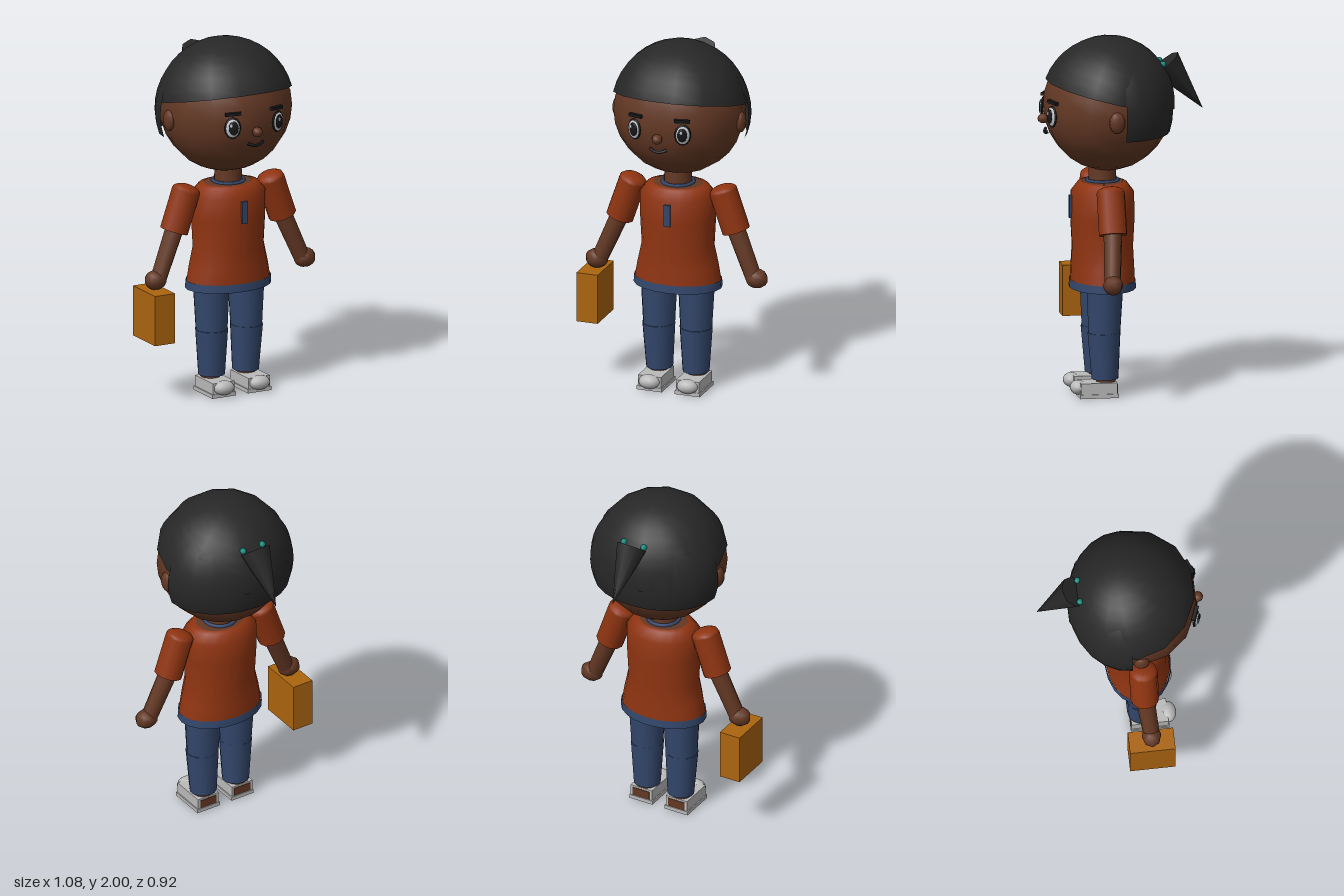
import * as THREE from 'three';
import { mergeVertices } from 'three/addons/utils/BufferGeometryUtils.js';

const mat = (name, color, side = THREE.FrontSide) => {
  const m = new THREE.MeshStandardMaterial({ color, side });
  m.name = name;
  return m;
};

export function createModel() {
  const skin = mat('skin brown', 0x633824, THREE.DoubleSide);
  const hair = mat('hair black', 0x272727, THREE.DoubleSide);
  const shirt = mat('shirt rust', 0x8f3411, THREE.DoubleSide);
  const denim = mat('denim blue', 0x33476c, THREE.DoubleSide);
  const tan = mat('bag ochre', 0xab640f);
  const grey = mat('shoe grey', 0xbababa);
  const white = mat('eye white', 0xc4c8cc);
  const black = mat('feature black', 0x17171a);
  const teal = mat('tie teal', 0x10897a);

  const model = new THREE.Group();
  model.name = 'girl';

  const add = (name, geo, material, x = 0, y = 0, z = 0, parent = model) => {
    const m = new THREE.Mesh(geo, material);
    m.name = name;
    m.position.set(x, y, z);
    parent.add(m);
    return m;
  };
  const ball = (rx, ry, rz, w = 14, h = 12) =>
    new THREE.SphereGeometry(1, w, h).scale(rx, ry, rz);
  const box = (w, h, d) => new THREE.BoxGeometry(w, h, d);

  // Tapered round bar between two points
  const rod = (name, a, b, ra, rb, material, sides = 12) => {
    const p = new THREE.Vector3(...a), q = new THREE.Vector3(...b);
    const dir = p.clone().sub(q);
    const m = add(name, new THREE.CylinderGeometry(ra, rb, dir.length(), sides), material);
    m.position.copy(p).add(q).multiplyScalar(0.5);
    m.quaternion.setFromUnitVectors(new THREE.Vector3(0, 1, 0), dir.normalize());
    return m;
  };

  // Elliptical tube through rings [y, rx, rz], listed top to bottom
  const loft = (rings, sides = 20) => {
    const g = new THREE.CylinderGeometry(1, 1, 1, sides, rings.length - 1, true);
    const p = g.attributes.position;
    for (let i = 0; i < p.count; i++) {
      const [y, rx, rz] = rings[Math.floor(i / (sides + 1))];
      p.setXYZ(i, p.getX(i) * rx, y, p.getZ(i) * rz);
    }
    g.deleteAttribute('uv');
    g.deleteAttribute('normal');
    const merged = mergeVertices(g, 1e-5);
    merged.computeVertexNormals();
    return merged;
  };

  // Head, ears, nose
  add('head', ball(0.37, 0.36, 0.355, 14, 14), skin, 0, 1.612, 0.072);
  add('nose', ball(0.031, 0.028, 0.031, 8, 6), skin, 0, 1.55, 0.432);

  // Mouth: shallow smile
  const smile = new THREE.QuadraticBezierCurve3(
    new THREE.Vector3(-0.048, 1.485, 0.408),
    new THREE.Vector3(0, 1.458, 0.435),
    new THREE.Vector3(0.048, 1.485, 0.408));
  add('mouth', new THREE.TubeGeometry(smile, 10, 0.009, 6), black);

  for (const s of [1, -1]) {
    add('ear', ball(0.028, 0.06, 0.045, 10, 8), skin, s * 0.362, 1.58, 0.08);

    // Eye: rim, white, pupil and glint stacked outward
    const eye = new THREE.Group();
    eye.name = 'eye';
    eye.position.set(s * 0.142, 1.585, 0.406);
    eye.rotation.y = s * 0.38;
    add('eyeRim', ball(0.046, 0.061, 0.012, 20, 10), black, 0, 0, 0, eye);
    add('eyeWhite', ball(0.041, 0.055, 0.018, 20, 10), white, 0, 0, 0, eye);
    add('pupil', ball(0.028, 0.04, 0.008, 16, 8), black, -s * 0.004, 0.002, 0.014, eye);
    add('glint', ball(0.009, 0.011, 0.004, 8, 6), white, -0.01, 0.018, 0.021, eye);
    model.add(eye);

    const brow = add('eyebrow', box(0.088, 0.017, 0.02), black, s * 0.137, 1.663, 0.402);
    brow.rotation.set(0, s * 0.38, -s * 0.06);
  }

  // Hair: tilted cap plus a longer back shell
  const cap = add('hairCap',
    new THREE.SphereGeometry(1, 14, 9, 0, Math.PI * 2, 0, 1.42).scale(0.383, 0.38, 0.37),
    hair, 0, 1.62, 0.07);
  cap.rotation.x = -0.23;
  add('hairBack',
    new THREE.SphereGeometry(1, 12, 12, Math.PI, Math.PI, 0, 1.92).scale(0.388, 0.38, 0.32),
    hair, 0, 1.6, 0.03);

  // Ponytail and its tie
  rod('ponytail', [0, 1.839, -0.252], [0, 1.58, -0.46], 0.09, 0.001, hair, 8);
  for (const s of [1, -1])
    add('hairTie', ball(0.019, 0.018, 0.019, 8, 6), teal, s * 0.063, 1.842, -0.228);

  // Neck, neckline and collar
  add('neck', new THREE.CylinderGeometry(0.075, 0.08, 0.13, 14), skin, 0, 1.225, 0.1);
  add('neckline', loft([[1.193, 0.07, 0.07], [1.189, 0.14, 0.115]]), skin, 0, 0, 0.1);
  const collar = add('collar', new THREE.TorusGeometry(0.086, 0.011, 6, 20), denim, 0, 1.194, 0.1);
  collar.rotation.x = Math.PI / 2;

  // Shirt with hem band and placket
  add('shirt', loft([
    [1.188, 0.135, 0.11], [1.182, 0.175, 0.135], [1.13, 0.216, 0.174], [1.0, 0.214, 0.178],
    [0.83, 0.205, 0.169], [0.72, 0.23, 0.174], [0.63, 0.246, 0.178],
  ]), shirt, 0, 0, 0.1);
  add('hem', loft([[0.642, 0.25, 0.181], [0.596, 0.253, 0.184]]), denim, 0, 0, 0.1);
  add('hips', loft([[0.63, 0.24, 0.172], [0.615, 0.001, 0.001]]), skin, 0, 0, 0.1);
  add('placket', box(0.036, 0.125, 0.018), denim, 0.003, 1.05, 0.278);

  for (const s of [1, -1]) {
    // Arm: sleeve with low shoulder dome, forearm, hand
    const sleeve = rod('sleeve', [s * 0.266, 1.168, 0.1], [s * 0.342, 0.947, 0.1], 0.079, 0.079, shirt);
    const dome = add('shoulder',
      new THREE.SphereGeometry(1, 12, 5, 0, Math.PI * 2, 0, Math.PI / 2).scale(0.079, 0.038, 0.079),
      shirt, s * 0.266, 1.168, 0.1);
    dome.quaternion.copy(sleeve.quaternion);
    rod('forearm', [s * 0.335, 0.97, 0.1], [s * 0.45, 0.7, 0.122], 0.052, 0.046, skin, 10);
    add('hand', ball(0.067, 0.055, 0.055, 8, 7), skin, s * 0.47, 0.69, 0.122);

    // Trouser leg in two sections
    rod('thigh', [s * 0.11, 0.625, 0.105], [s * 0.109, 0.355, 0.108], 0.103, 0.089, denim, 14);
    rod('shin', [s * 0.11, 0.36, 0.11], [s * 0.107, 0.1, 0.104], 0.092, 0.075, denim, 14);

    // Shoe: upper, sole, toe cap, with the foot showing at heel and underside
    const x = s * 0.112;
    add('ankle', new THREE.CylinderGeometry(0.055, 0.055, 0.05, 12), skin, x, 0.085, 0.1);
    add('shoe', box(0.135, 0.07, 0.205), grey, x, 0.05, 0.148);
    add('sole', box(0.147, 0.022, 0.215), grey, x, 0.012, 0.148);
    add('toeCap', ball(0.061, 0.04, 0.045, 14, 10), grey, x, 0.055, 0.255);
    add('heelPanel', box(0.105, 0.048, 0.006), skin, x, 0.05, 0.045);
    add('solePanel', box(0.105, 0.004, 0.15), skin, x, 0.002, 0.135);
  }

  // Carried bag
  add('bag', box(0.125, 0.285, 0.252), tan, -0.481, 0.494, 0.122);

  return model;
}
